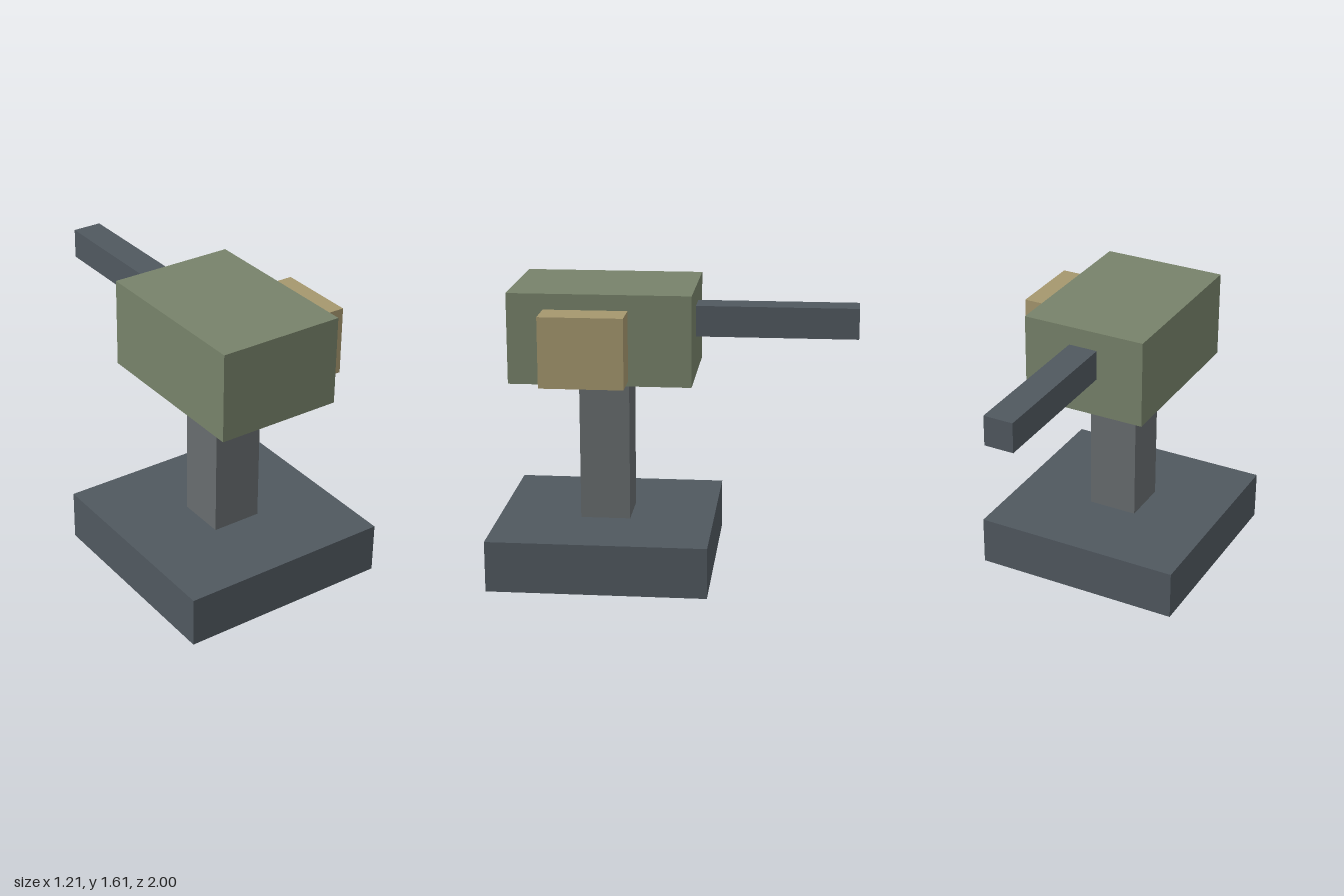
import * as THREE from 'three';

// Box given by its min and max corners
function block(name, color, [x0, y0, z0], [x1, y1, z1]) {
  const mesh = new THREE.Mesh(
    new THREE.BoxGeometry(x1 - x0, y1 - y0, z1 - z0),
    new THREE.MeshStandardMaterial({ color })
  );
  mesh.position.set((x0 + x1) / 2, (y0 + y1) / 2, (z0 + z1) / 2);
  mesh.name = name;
  return mesh;
}

export function createModel() {
  const steel = 0x50585f, grey = 0x676c6e, green = 0x77826a, tan = 0xa5976e;
  const group = new THREE.Group();
  group.name = 'turret';
  group.add(
    // Stand
    block('base', steel, [-0.607, 0, -0.214], [0.607, 0.286, 1]),
    block('post', grey, [-0.143, 0.286, 0.257], [0.143, 1.111, 0.536]),
    // Head with its rear-pointing barrel and side box
    block('head', green, [-0.357, 1.111, -0.107], [0.357, 1.611, 0.893]),
    block('barrel', steel, [-0.084, 1.333, -1], [0.084, 1.504, -0.107]),
    block('ammoBox', tan, [0.357, 1.139, 0.236], [0.554, 1.525, 0.693])
  );
  return group;
}
